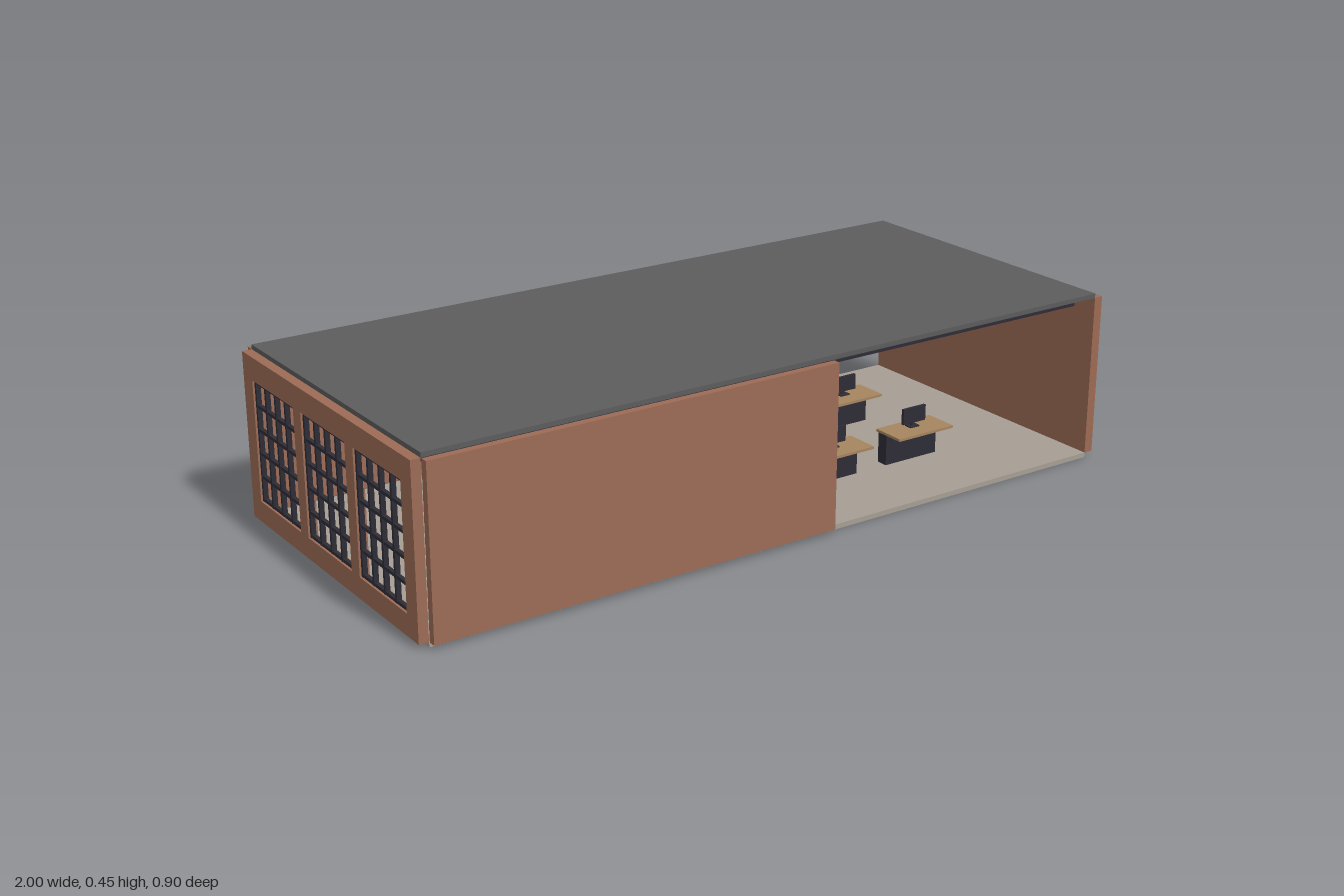
import * as THREE from 'three';

const mat = (name, color) => {
  const m = new THREE.MeshStandardMaterial({ color });
  m.name = name;
  return m;
};

export function createModel() {
  const brick = mat('brick', 0x9c6b55);
  const roofGrey = mat('roof grey', 0x5c5c5d);
  const concrete = mat('concrete', 0xa69e94);
  const steel = mat('dark steel', 0x2d2c36);
  const wood = mat('wood', 0xa5855f);
  const glass = mat('glass', 0xc3cdce);

  const model = new THREE.Group();
  model.name = 'officePavilion';

  // Box given by its min and max on each axis
  const box = (parent, name, material, [x0, x1], [y0, y1], [z0, z1]) => {
    const mesh = new THREE.Mesh(new THREE.BoxGeometry(x1 - x0, y1 - y0, z1 - z0), material);
    mesh.position.set((x0 + x1) / 2, (y0 + y1) / 2, (z0 + z1) / 2);
    mesh.name = name;
    parent.add(mesh);
    return mesh;
  };
  const group = (name) => {
    const g = new THREE.Group();
    g.name = name;
    model.add(g);
    return g;
  };

  const FLOOR = 0.013, TOP = 0.44, HALF_Z = 0.427, HALF_X = 0.975, PART_X = 0.12;

  // Slabs
  box(model, 'floor', concrete, [-HALF_X, HALF_X], [0, FLOOR], [-HALF_Z, HALF_Z]);
  box(model, 'roof', roofGrey, [-HALF_X, HALF_X], [TOP, 0.452], [-HALF_Z, HALF_Z]);

  // Long walls cover the closed half, the other half stays open
  box(model, 'frontWall', brick, [-HALF_X, PART_X], [FLOOR, TOP], [0.43, 0.45]);
  box(model, 'backWall', brick, [-HALF_X, PART_X], [FLOOR, TOP], [-0.45, -0.43]);
  box(model, 'solidEndWall', brick, [HALF_X, 1], [FLOOR, TOP], [-HALF_Z, HALF_Z]);

  // End wall with three window openings
  const rect = (path, x0, x1, y0, y1) => {
    path.moveTo(x0, y0);
    path.lineTo(x1, y0);
    path.lineTo(x1, y1);
    path.lineTo(x0, y1);
    path.closePath();
    return path;
  };
  const WIN_W = 0.225, WIN_Y0 = 0.068, WIN_Y1 = 0.38, centres = [-0.265, 0, 0.265];
  const wallShape = rect(new THREE.Shape(), -HALF_Z, HALF_Z, FLOOR, TOP);
  for (const c of centres) {
    wallShape.holes.push(rect(new THREE.Path(), c - WIN_W / 2, c + WIN_W / 2, WIN_Y0, WIN_Y1));
  }
  const windowWall = new THREE.Mesh(
    new THREE.ExtrudeGeometry(wallShape, { depth: 0.025, bevelEnabled: false }), brick);
  windowWall.rotation.y = Math.PI / 2;
  windowWall.position.x = -1;
  windowWall.name = 'windowEndWall';
  model.add(windowWall);

  // Window grids
  const COLS = 4, ROWS = 5, BAR = 0.004;
  for (const c of centres) {
    const win = group('windowGrid');
    const z0 = c - WIN_W / 2, z1 = c + WIN_W / 2;
    for (let i = 0; i <= COLS; i++) {
      const z = z0 + BAR + (i / COLS) * (WIN_W - 2 * BAR);
      box(win, 'verticalBar', steel, [-0.995, -0.983], [WIN_Y0, WIN_Y1], [z - BAR, z + BAR]);
    }
    for (let j = 0; j <= ROWS; j++) {
      const y = WIN_Y0 + BAR + (j / ROWS) * (WIN_Y1 - WIN_Y0 - 2 * BAR);
      box(win, 'horizontalBar', steel, [-0.994, -0.984], [y - BAR, y + BAR], [z0, z1]);
    }
  }

  // Ceiling I-beams
  for (const z of [-0.34, -0.115, 0.115, 0.34]) {
    const beam = group('ceilingBeam');
    const span = [-HALF_X, HALF_X];
    box(beam, 'lowerFlange', steel, span, [0.4, 0.407], [z - 0.016, z + 0.016]);
    box(beam, 'web', steel, span, [0.407, 0.433], [z - 0.004, z + 0.004]);
    box(beam, 'upperFlange', steel, span, [0.433, TOP], [z - 0.016, z + 0.016]);
  }

  // Glazed partition: posts, rails, panes and a wooden door in the front bay
  const partition = group('partition');
  const BAYS = 6, RAIL_Y = 0.305, PX = [PART_X - 0.012, PART_X];
  const postZ = (i) => -0.422 + (i / BAYS) * 0.844;
  for (let i = 0; i <= BAYS; i++) {
    const end = i === 0 || i === BAYS;
    const w = end ? 0.008 : 0.005;
    box(partition, 'post', steel, PX, [FLOOR, TOP], [postZ(i) - w, postZ(i) + w]);
  }
  for (const y of [FLOOR + 0.005, RAIL_Y, TOP - 0.005]) {
    box(partition, 'rail', steel, [PART_X - 0.011, PART_X - 0.001],
      [y - 0.005, y + 0.005], [-0.422, 0.422]);
  }
  for (let i = 0; i < BAYS - 1; i++) {
    box(partition, 'pane', glass, [PART_X - 0.008, PART_X - 0.004],
      [FLOOR, TOP], [postZ(i), postZ(i + 1)]);
  }
  box(partition, 'door', wood, [PART_X - 0.009, PART_X - 0.002],
    [FLOOR, RAIL_Y], [postZ(BAYS - 1), postZ(BAYS)]);

  // Desks with a back panel and a screen
  for (const [x, z] of [[0.305, 0.21], [0.57, 0.21], [0.305, -0.08], [0.57, -0.08], [0.305, -0.35]]) {
    const desk = group('desk');
    desk.position.set(x, FLOOR, z);
    box(desk, 'deskTop', wood, [-0.09, 0.09], [0.085, 0.092], [-0.047, 0.047]);
    box(desk, 'deskBase', steel, [-0.084, 0.084], [0, 0.085], [-0.044, -0.012]);
    box(desk, 'screenFoot', steel, [-0.015, 0.015], [0.092, 0.095], [-0.022, 0.002]);
    box(desk, 'screenStand', steel, [-0.005, 0.005], [0.095, 0.108], [-0.014, -0.008]);
    box(desk, 'screen', steel, [-0.037, 0.037], [0.104, 0.146], [-0.01, -0.002]);
  }

  return model;
}
